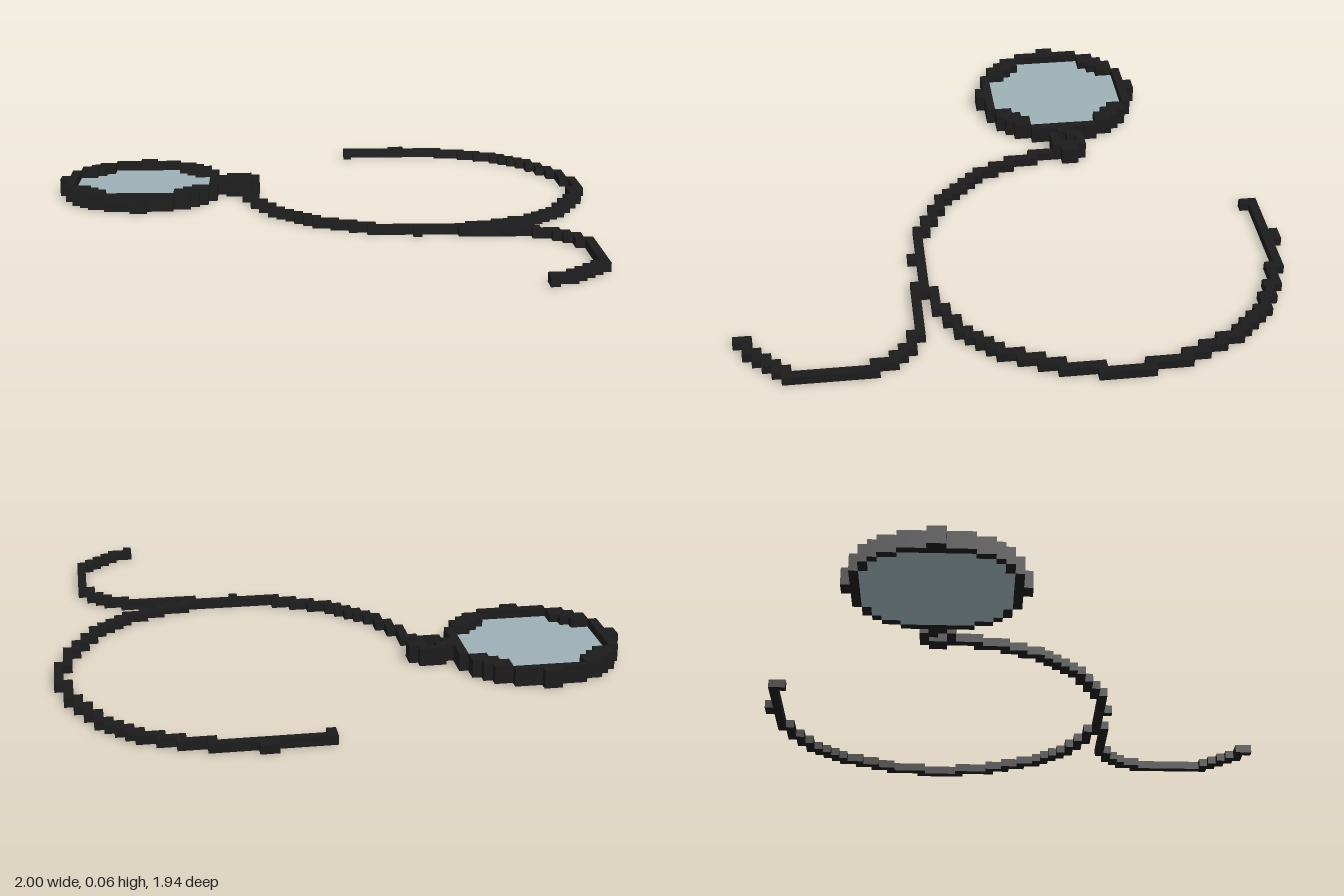
import * as THREE from 'three';
import { mergeGeometries } from 'three/addons/utils/BufferGeometryUtils.js';

const V = 2 / 63; // size of one block

// Box of w by d grid cells from a column (x) and row (z), standing on a layer
function block(col, row, w, d, layer, layers) {
  const g = new THREE.BoxGeometry(w * V, layers * V, d * V);
  g.translate((col + w / 2 - 31.5) * V, (layer + layers / 2) * V, (row + d / 2 - 30.5) * V);
  return g;
}

// Cord of single blocks along a path
function cord(path) {
  const cells = new Map();
  for (const p of path.getSpacedPoints(3000)) {
    const col = Math.round(p.x), row = Math.round(p.y);
    cells.set(`${col},${row}`, [col, row]);
  }
  return [...cells.values()].map(([col, row]) => block(col, row, 1, 1, 0, 1));
}

export function createModel() {
  const model = new THREE.Group();
  const black = new THREE.MeshStandardMaterial({ color: 0x1b1b1b });
  black.name = 'black metal';
  const grey = new THREE.MeshStandardMaterial({ color: 0x9cb0b5 });
  grey.name = 'grey glass';

  const add = (name, parts, material) => {
    const mesh = new THREE.Mesh(mergeGeometries(parts), material);
    mesh.name = name;
    model.add(mesh);
  };

  // Round lens: half widths per row from the middle outwards, for the frame's
  // outline, the opening in its upper layer and the glass in its lower layer
  const outline = [9, 9, 9, 9, 8, 8, 7, 6, 4];
  const opening = [8, 8, 8, 8, 6, 5, 4, 4, 0];
  const pane = [8, 8, 8, 8, 7, 7, 6, 4, 0];
  const frame = [], glass = [];
  outline.forEach((o, i) => {
    for (const row of [21 + i, 20 - i]) {
      [pane[i], opening[i]].forEach((n, layer) => {
        frame.push(block(10 - o, row, o - n, 1, layer, 1), block(10 + n, row, o - n, 1, layer, 1));
      });
      if (pane[i]) glass.push(block(10 - pane[i], row, 2 * pane[i], 1, 0, 1));
    }
  });
  // Four small studs around the frame
  for (const row of [11, 30]) frame.push(block(9, row, 2, 1, 0, 2));
  for (const col of [0, 19]) frame.push(block(col, 20, 1, 2, 0, 2));
  add('lensFrame', frame, black);
  add('lens', glass, grey);

  // Small open link between the frame and the cord
  add('link', [
    block(20, 19, 3, 1, 0, 2), block(20, 20, 1, 1, 0, 2),
    block(22, 20, 2, 2, 0, 2), block(20, 22, 3, 1, 0, 2)], black);

  // Big loop of the cord, with a small knot at the top and bottom
  const loop = new THREE.Path();
  loop.absarc(41.85, 20.5, 19.8, Math.PI - 0.12, -Math.PI / 2, true);
  loop.lineTo(35, 1).lineTo(35, 2);
  add('cordLoop', [
    ...cord(loop), block(41, 0, 2, 1, 0, 1), block(41, 41, 1, 1, 0, 1)], black);

  // Loose end of the cord
  const tail = new THREE.Path().moveTo(46, 41);
  tail.lineTo(53.6, 41).lineTo(56, 42.4).lineTo(58, 44.5).lineTo(59, 47).lineTo(59, 55);
  tail.lineTo(58.6, 55).lineTo(57, 57).lineTo(55.4, 58.3).lineTo(53, 59).lineTo(53, 60);
  add('cordTail', cord(tail), black);

  return model;
}
